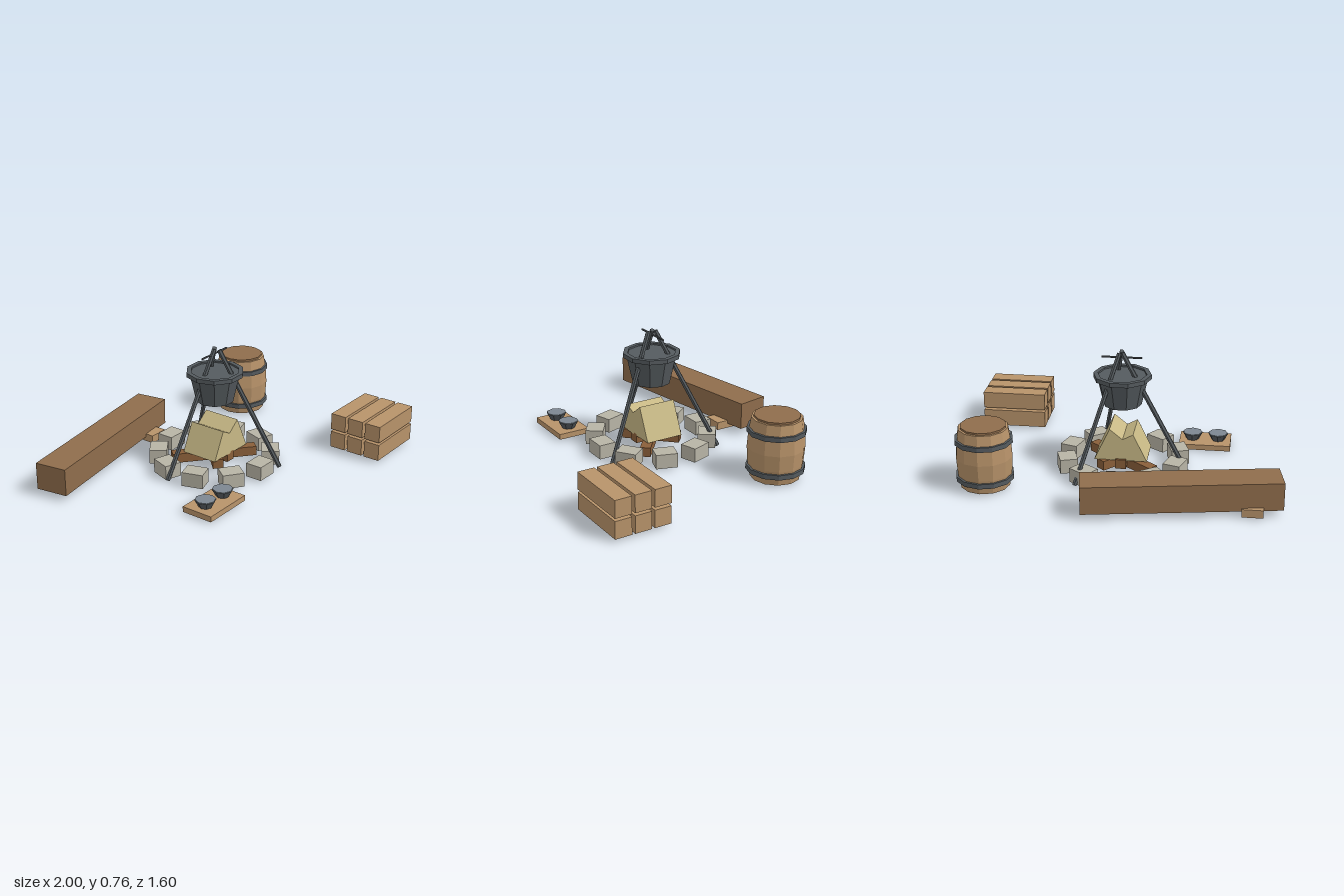
import * as THREE from 'three';

const mat = (color) => new THREE.MeshStandardMaterial({ color, flatShading: true });
const tan = mat(0xb8936a), brown = mat(0x8f6d4c), logWood = mat(0x8a5f3a), metal = mat(0x555b5f);
const stone = mat(0xb8b4a6), straw = mat(0xc8b986), broth = mat(0x7d8791);

function add(parent, name, geometry, material, x = 0, y = 0, z = 0, turn = 0) {
  const mesh = new THREE.Mesh(geometry, material);
  mesh.name = name;
  mesh.position.set(x, y, z);
  mesh.rotation.y = turn;
  parent.add(mesh);
  return mesh;
}

const box = (w, h, d) => new THREE.BoxGeometry(w, h, d);
const lathe = (points, sides) =>
  new THREE.LatheGeometry(points.map(([r, y]) => new THREE.Vector2(r, y)), sides);
// Square-section hoop centred on its own height
const hoop = (inner, outer, h, sides) => lathe(
  [[inner, -h / 2], [outer, -h / 2], [outer, h / 2], [inner, h / 2], [inner, -h / 2]], sides);

// Straight round pole between two points
function pole(parent, name, from, to, radius) {
  const a = new THREE.Vector3(...from), b = new THREE.Vector3(...to);
  const mesh = add(parent, name, new THREE.CylinderGeometry(radius, radius, a.distanceTo(b), 6), metal);
  mesh.position.copy(a).lerp(b, 0.5);
  mesh.quaternion.setFromUnitVectors(new THREE.Vector3(0, 1, 0), b.sub(a).normalize());
}

function group(parent, name, x = 0, y = 0, z = 0) {
  const g = new THREE.Group();
  g.name = name;
  g.position.set(x, y, z);
  parent.add(g);
  return g;
}

export function createModel() {
  const camp = new THREE.Group();
  camp.name = 'campsite';

  // Fire pit: ring of stones, crossed logs and a peaked straw heap
  const pit = group(camp, 'firePit', 0, 0, -0.04);
  for (let i = 0; i < 10; i++) {
    const a = (i / 10) * Math.PI * 2;
    add(pit, 'ringStone', box(0.134, 0.09, 0.11), stone, Math.sin(a) * 0.35, 0.055, Math.cos(a) * 0.35, a);
  }
  [[0.535, -0.7], [0.36, 0.8], [0.26, 1.57]].forEach(([length, turn], i) =>
    add(pit, 'log', box(length, 0.06, 0.065), logWood, 0, 0.055 + i * 0.008, -0.005, turn));
  const heap = new THREE.Shape([[-0.16, 0.09], [-0.075, 0.265], [-0.01, 0.23], [0.07, 0.295], [0.165, 0.09]]
    .map(([x, y]) => new THREE.Vector2(x, y)));
  add(pit, 'strawHeap', new THREE.ExtrudeGeometry(heap, { depth: 0.245, bevelEnabled: false }),
    straw, 0, 0, -0.12);

  // Tripod
  const tripod = group(camp, 'tripod');
  pole(tripod, 'tripodLeg', [-0.4, 0.008, -0.092], [0.005, 0.75, -0.045], 0.015);
  pole(tripod, 'tripodLeg', [0.168, 0.008, 0.34], [0.012, 0.75, -0.012], 0.015);
  pole(tripod, 'tripodLeg', [0.255, 0.008, -0.37], [0.022, 0.75, -0.055], 0.015);
  pole(tripod, 'crossBar', [-0.115, 0.722, -0.045], [0.13, 0.722, -0.045], 0.006);

  // Cauldron
  const cauldron = group(camp, 'cauldron', 0.005, 0, -0.04);
  cauldron.rotation.y = Math.PI / 2;
  add(cauldron, 'cauldronBody', new THREE.CylinderGeometry(0.16, 0.118, 0.185, 10), metal, 0, 0.5125, 0);
  add(cauldron, 'cauldronRim', hoop(0.15, 0.179, 0.027, 10), metal, 0, 0.602, 0);

  // Long bench on two feet
  const bench = group(camp, 'bench');
  add(bench, 'benchBeam', box(1.167, 0.17, 0.204), brown, -0.405, 0.125, -0.6, 0.172);
  for (const x of [-0.82, 0.005])
    add(bench, 'benchFoot', box(0.125, 0.05, 0.155), tan, x, 0.035, -0.58);

  // Barrel with lid and two hoops
  const barrel = group(camp, 'barrel', 0.79, 0, -0.413);
  add(barrel, 'barrelBody', lathe(
    [[0, 0.01], [0.15, 0.01], [0.166, 0.1], [0.173, 0.2], [0.166, 0.3], [0.152, 0.385], [0, 0.385]], 12), tan);
  add(barrel, 'barrelLid', new THREE.CylinderGeometry(0.138, 0.138, 0.02, 12), brown, 0, 0.387, 0);
  for (const y of [0.07, 0.306])
    add(barrel, 'barrelHoop', hoop(0.145, 0.177, 0.03, 12), metal, 0, y, 0);

  // Stack of squared timbers
  const stack = group(camp, 'timberStack');
  for (const y of [0.071, 0.194])
    for (const z of [0.499, 0.623, 0.747])
      add(stack, 'timber', box(0.41, 0.107, 0.105), tan, 0.795, y, z);

  // Serving board with two filled bowls
  const serving = group(camp, 'servingBoard', -0.488, 0, 0.332);
  add(serving, 'board', box(0.328, 0.035, 0.205), tan, 0, 0.0275, 0);
  for (const x of [-0.082, 0.082]) {
    add(serving, 'bowl', new THREE.CylinderGeometry(0.065, 0.04, 0.045, 8), metal, x, 0.0675, 0);
    add(serving, 'bowlFilling', new THREE.CylinderGeometry(0.06, 0.06, 0.006, 8), broth, x, 0.09, 0);
  }

  return camp;
}
